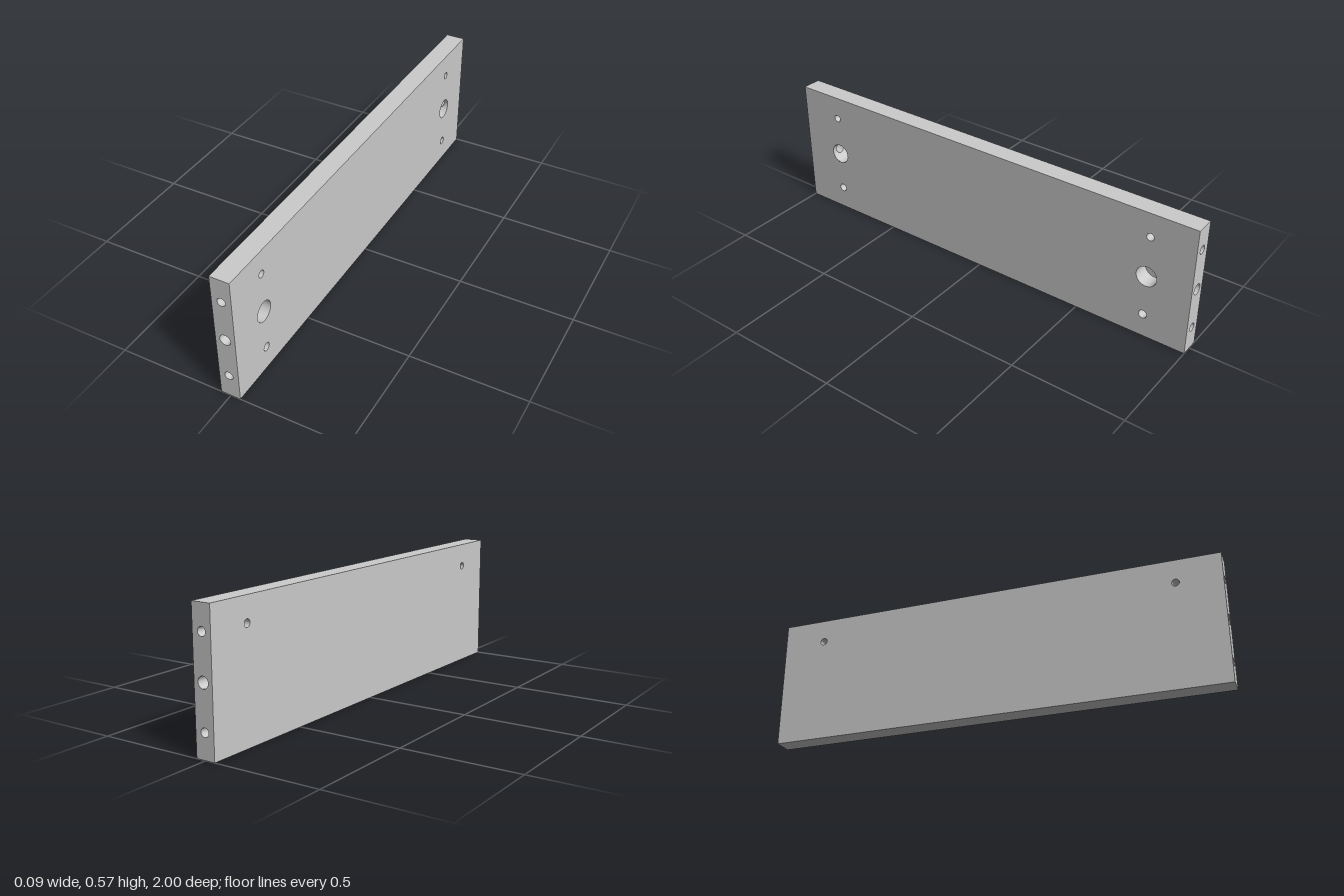
import * as THREE from 'three';

const T = 0.0425, H = 0.574, L = 1;          // half thickness, height, half length
const LOW = 0.104, MID = 0.287, HIGH = 0.47; // hole heights
const ZC = 0.806;                            // distance of the face holes from the centre
const R_CAM = 0.045, R_BOLT = 0.0235, R_DOWEL = 0.018, R_PIN = 0.016;
const CAM_FLOOR = -0.03, PIN_FLOOR = -0.02, DOWEL_DEPTH = 0.12;
const SEG = 48;

const solid = new THREE.MeshStandardMaterial({ color: 0xcccccc });
const open = new THREE.MeshStandardMaterial({ color: 0xcccccc, side: THREE.DoubleSide });

// Ruled surface between two curves a(t) and b(t), t in 0..1
function ruled(a, b, n = SEG) {
  const pos = [], index = [];
  for (let i = 0; i <= n; i++) {
    pos.push(...a(i / n), ...b(i / n));
    if (i < n) index.push(2 * i, 2 * i + 1, 2 * i + 2, 2 * i + 2, 2 * i + 1, 2 * i + 3);
  }
  const g = new THREE.BufferGeometry();
  g.setAttribute('position', new THREE.Float32BufferAttribute(pos, 3));
  g.setIndex(index);
  g.computeVertexNormals();
  return g;
}

// Flat rectangle standing on y = 0 with round holes [u, y, radius]
function panel(halfWidth, holes) {
  const s = new THREE.Shape();
  s.moveTo(-halfWidth, 0).lineTo(halfWidth, 0).lineTo(halfWidth, H).lineTo(-halfWidth, H).closePath();
  for (const [u, y, r] of holes) {
    s.holes.push(new THREE.Path().absarc(u, y, r, 0, Math.PI * 2, true));
  }
  return new THREE.ShapeGeometry(s, SEG);
}

export function createModel() {
  const group = new THREE.Group();
  const add = (name, geometry, material = solid) => {
    const mesh = new THREE.Mesh(geometry, material);
    mesh.name = name;
    group.add(mesh);
    return mesh;
  };

  // Broad faces: all holes open on the left, only the through holes on the right
  const through = [-ZC, ZC].map(z => [z, HIGH, R_PIN]);
  const blind = [-ZC, ZC].flatMap(z => [[z, MID, R_CAM], [z, LOW, R_DOWEL]]);
  add('leftFace', panel(L, [...through, ...blind]).rotateY(Math.PI / 2).translate(T, 0, 0));
  add('rightFace', panel(L, through).rotateY(-Math.PI / 2).translate(-T, 0, 0));

  // Long edges
  add('topEdge', new THREE.PlaneGeometry(2 * T, 2 * L).rotateX(-Math.PI / 2).translate(0, H, 0));
  add('bottomEdge', new THREE.PlaneGeometry(2 * T, 2 * L).rotateX(Math.PI / 2));

  for (const s of [1, -1]) {
    const end = s > 0 ? 'front' : 'back';
    const TAU = Math.PI * 2;

    // End face with two dowel holes and the bolt bore
    add(end + 'End', panel(T, [[0, LOW, R_DOWEL], [0, MID, R_BOLT], [0, HIGH, R_DOWEL]])
      .rotateY(s > 0 ? 0 : Math.PI).translate(0, 0, s * L));

    // Blind dowel holes in the end
    for (const y of [LOW, HIGH]) {
      const ring = z => t => [R_DOWEL * Math.cos(t * TAU), y + R_DOWEL * Math.sin(t * TAU), s * z];
      add(end + 'DowelHole', ruled(ring(L), ring(L - DOWEL_DEPTH)), open);
      add(end + 'DowelHoleFloor', new THREE.CircleGeometry(R_DOWEL, SEG)
        .translate(0, y, s * (L - DOWEL_DEPTH)), open);
    }

    // Holes across the thickness; angle 0 points to the nearer end
    const arc = (y, r, x, from = 0, to = TAU) => t => {
      const a = from + (to - from) * t;
      return [typeof x === 'function' ? x(r * Math.sin(a)) : x, y + r * Math.sin(a), s * (ZC + r * Math.cos(a))];
    };
    const floor = (y, r, x) => new THREE.CircleGeometry(r, SEG)
      .rotateY(Math.PI / 2).translate(x, y, s * ZC);
    add(end + 'ThroughHole', ruled(arc(HIGH, R_PIN, T), arc(HIGH, R_PIN, -T)), open);
    add(end + 'LowerHole', ruled(arc(LOW, R_DOWEL, T), arc(LOW, R_DOWEL, PIN_FLOOR)), open);
    add(end + 'LowerHoleFloor', floor(LOW, R_DOWEL, PIN_FLOOR));

    // Large lock hole: closed wall, then the wall either side of the bolt opening
    const w = Math.asin(R_BOLT / R_CAM);
    const gap = dy => Math.sqrt(Math.max(0, R_BOLT ** 2 - dy ** 2));
    add(end + 'LockHole', ruled(arc(MID, R_CAM, T, w, TAU - w), arc(MID, R_CAM, CAM_FLOOR, w, TAU - w)), open);
    add(end + 'LockHoleOuterWall', ruled(arc(MID, R_CAM, T, -w, w), arc(MID, R_CAM, gap, -w, w)), open);
    add(end + 'LockHoleInnerWall', ruled(arc(MID, R_CAM, d => -gap(d), -w, w), arc(MID, R_CAM, CAM_FLOOR, -w, w)), open);
    add(end + 'LockHoleFloor', floor(MID, R_CAM, CAM_FLOOR));

    // Bolt bore from the end face into the lock hole
    const bore = zAt => t => {
      const dy = R_BOLT * Math.sin(t * TAU);
      return [R_BOLT * Math.cos(t * TAU), MID + dy, s * zAt(dy)];
    };
    add(end + 'BoltBore', ruled(bore(() => L), bore(dy => ZC + Math.sqrt(R_CAM ** 2 - dy ** 2))), open);
  }
  return group;
}
